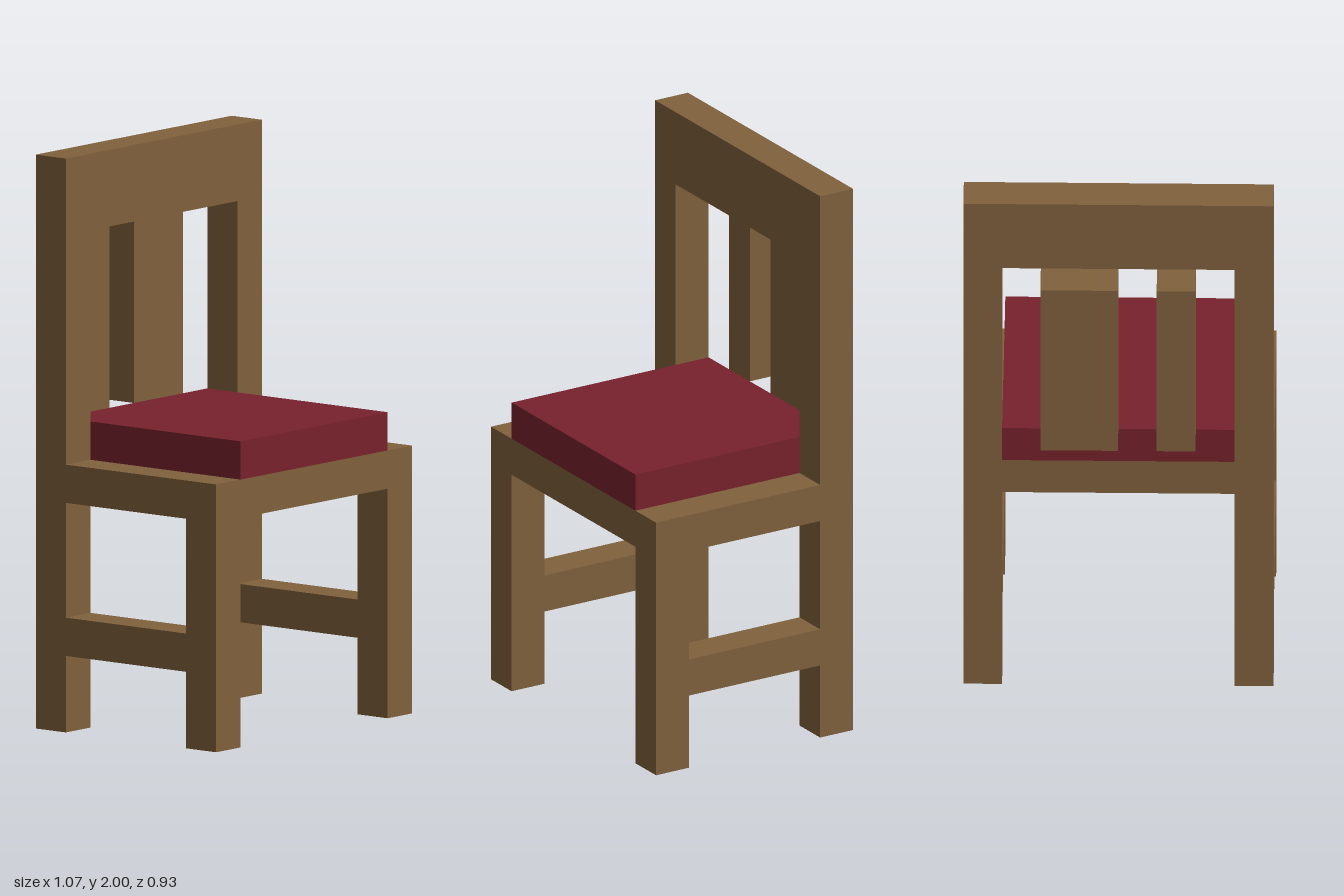
import * as THREE from 'three';

const U = 2 / 15; // the chair is laid out on a 15-unit-high module

export function createModel() {
  const wood = new THREE.MeshStandardMaterial({ color: 0x80613c });
  wood.name = 'brown wood';
  const fabric = new THREE.MeshStandardMaterial({ color: 0x78212c });
  fabric.name = 'red fabric';

  const chair = new THREE.Group();
  chair.name = 'chair';

  // Box between two corners, given in module units
  function block(name, [x0, y0, z0], [x1, y1, z1], material = wood) {
    const geometry = new THREE.BoxGeometry((x1 - x0) * U, (y1 - y0) * U, (z1 - z0) * U);
    const mesh = new THREE.Mesh(geometry, material);
    mesh.name = name;
    mesh.position.set((x0 + x1) / 2 * U, (y0 + y1) / 2 * U, (z0 + z1) / 2 * U);
    chair.add(mesh);
  }

  // Legs, back posts and side stretchers
  for (const [side, x] of [['left', 3], ['right', -4]]) {
    block(`${side}FrontLeg`, [x, 0, 2.5], [x + 1, 6, 3.5]);
    block(`${side}BackPost`, [x, 0, -2.5], [x + 1, 13, -1.5]);
    block(`${side}Stretcher`, [x, 2, -1.5], [x + 1, 3, 2.5]);
  }

  // Seat board, with its rear part fitted between the posts
  block('seat', [-4, 6, -1.5], [4, 7, 3.5]);
  block('seatRear', [-3, 6, -2.5], [3, 7, -1.5]);
  block('cushion', [-3, 7, -2.5], [3, 8, 3.5], fabric);

  // Top rail and the two uneven slats behind the back
  block('topRail', [-4, 13, -2.5], [4, 15, -1.5]);
  block('narrowSlat', [-2, 8, -3.5], [-1, 13, -2.5]);
  block('wideSlat', [0, 8, -3.5], [2, 13, -2.5]);

  return chair;
}
